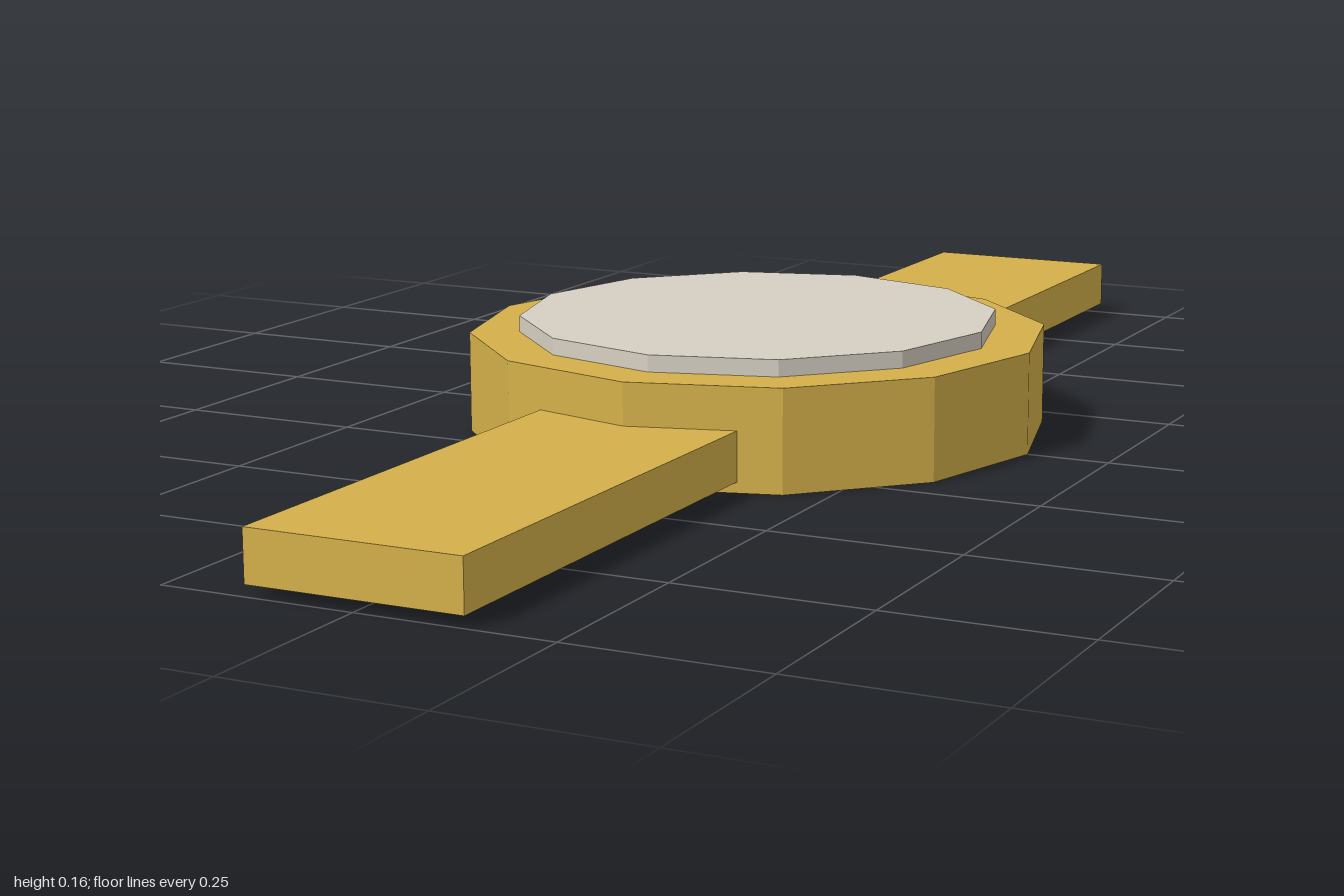
import * as THREE from 'three';

export function createModel() {
  const model = new THREE.Group();
  const gold = new THREE.MeshStandardMaterial({ color: 0xd4b04a, flatShading: true });
  const pale = new THREE.MeshStandardMaterial({ color: 0xd6cfc2, flatShading: true });

  const add = (name, geometry, material, y, z = 0) => {
    const mesh = new THREE.Mesh(geometry, material);
    mesh.name = name;
    mesh.position.set(0, y, z);
    model.add(mesh);
  };

  // Twelve-sided case, with corners on the x and z axes
  const caseHeight = 0.135;
  add('watchCase', new THREE.CylinderGeometry(0.389, 0.389, caseHeight, 12), gold, caseHeight / 2);

  // Dial standing slightly proud of the case
  const dialBottom = 0.11, dialTop = 0.157;
  add('dial', new THREE.CylinderGeometry(0.322, 0.322, dialTop - dialBottom, 12), pale, (dialBottom + dialTop) / 2);

  // Two mirrored straps, their inner ends sunk into the case
  const inner = 0.32, outer = 1;
  for (const [name, side] of [['frontStrap', 1], ['backStrap', -1]]) {
    add(name, new THREE.BoxGeometry(0.278, 0.065, outer - inner), gold, 0.0465, side * (inner + outer) / 2);
  }

  return model;
}
